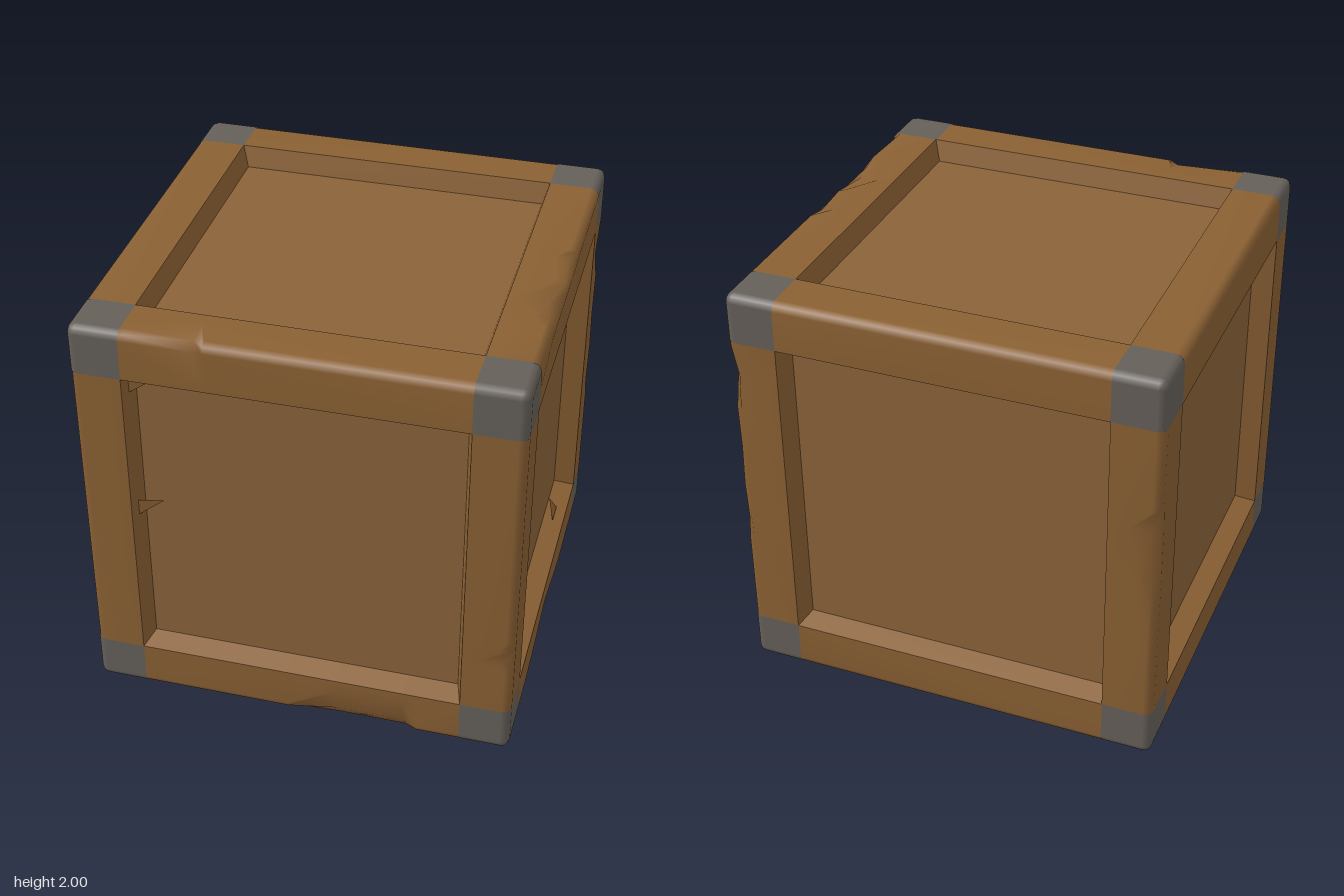
import * as THREE from 'three';

const INNER = 0.765; // inner edge of the frame
const FOOT = 0.735;  // foot of the frame's sloped inner wall
const PANEL = 0.9;   // distance of the panels from the centre
const BEVEL = 0.04;

const frameWood = new THREE.MeshStandardMaterial({ color: 0x8a6033 });
frameWood.name = 'frame wood';
const panelWood = new THREE.MeshStandardMaterial({ color: 0x8a6239 });
panelWood.name = 'panel wood';
const splinterWood = new THREE.MeshStandardMaterial({ color: 0x8a6033, side: THREE.DoubleSide });
splinterWood.name = 'splinter wood';
const iron = new THREE.MeshStandardMaterial({ color: 0x655f59 });
iron.name = 'iron';

// Worn edges, by axis and the signs of the next two axes:
// [position along the beam, bevel along the first axis, bevel along the second]
const WEAR = {
  'x-+': [[-0.06, 0.04, 0.04], [0.18, 0.17, 0.05], [0.5, 0.18, 0.05], [0.56, 0.04, 0.04]],
  'x++': [[-0.74, 0.04, 0.05], [-0.44, 0.04, 0.16], [-0.39, 0.04, 0.04]],
  'y++': [[-0.52, 0.04, 0.04], [-0.48, 0.04, 0.17], [-0.41, 0.04, 0.07], [-0.35, 0.04, 0.04]],
  'y-+': [[-0.3, 0.04, 0.04], [-0.2, 0.08, 0.04], [0, 0.04, 0.04], [0.2, 0.07, 0.04],
    [0.42, 0.05, 0.04], [0.6, 0.16, 0.05], [0.74, 0.04, 0.04]],
  'y--': [[-0.35, 0.04, 0.04], [0, 0.05, 0.09], [0.25, 0.05, 0.14], [0.36, 0.04, 0.04]],
  'z+-': [[-0.35, 0.04, 0.04], [-0.15, 0.05, 0.08], [0.05, 0.05, 0.12], [0.3, 0.05, 0.07], [0.52, 0.04, 0.04]],
  'z++': [[-0.18, 0.04, 0.04], [-0.1, 0.1, 0.05], [0.1, 0.06, 0.05], [0.28, 0.18, 0.05],
    [0.4, 0.1, 0.05], [0.5, 0.04, 0.05], [0.74, 0.04, 0.13]],
};

// One edge beam: a section with sloped inner walls, swept along an axis
function beamGeometry(axis, su, sv) {
  const key = 'xyz'[axis] + (su > 0 ? '+' : '-') + (sv > 0 ? '+' : '-');
  const stations = [[-INNER, BEVEL, BEVEL], ...(WEAR[key] || []), [INNER, BEVEL, BEVEL]];
  const points = [], index = [];
  const flip = su * sv < 0;
  for (const [s, a, b] of stations) {
    const section = [
      [FOOT, PANEL], [INNER, 1],
      [INNER, 1], [1 - a, 1], [1 - 0.32 * a, 1 - 0.32 * b], [1, 1 - b], [1, INNER],
      [1, INNER], [PANEL, FOOT],
    ];
    for (const [u, v] of section) {
      const p = [0, 0, 0];
      p[axis] = s;
      p[(axis + 1) % 3] = su * u;
      p[(axis + 2) % 3] = sv * v;
      points.push(...p);
    }
  }
  for (let i = 0; i < stations.length - 1; i++) {
    for (const j of [0, 2, 3, 4, 5, 7]) {
      const a = i * 9 + j, b = a + 1, c = a + 9, d = a + 10;
      if (flip) index.push(a, b, c, b, d, c);
      else index.push(a, c, b, b, c, d);
    }
  }
  const g = new THREE.BufferGeometry();
  g.setAttribute('position', new THREE.Float32BufferAttribute(points, 3));
  g.setIndex(index);
  g.computeVertexNormals();
  return g;
}

// One corner cap: a block whose outer edges are rounded off
function cornerGeometry(sx, sy, sz) {
  const g = new THREE.BoxGeometry(3, 3, 3, 3, 3, 3);
  const pos = g.attributes.position, nor = g.attributes.normal;
  const steps = [INNER, 1 - BEVEL, 1 - BEVEL * 0.4, 1];
  const signs = new THREE.Vector3(sx, sy, sz);
  const p = new THREE.Vector3(), core = new THREE.Vector3();
  for (let i = 0; i < pos.count; i++) {
    p.fromBufferAttribute(pos, i).multiply(signs);
    p.set(...p.toArray().map((t) => steps[Math.round(t + 1.5)]));
    core.copy(p).clampScalar(0, 1 - BEVEL);
    p.sub(core);
    if (p.lengthSq() > 1e-8) {
      p.normalize();
      const n = p.clone().multiply(signs);
      nor.setXYZ(i, n.x, n.y, n.z);
    }
    p.multiplyScalar(p.lengthSq() > 0 ? BEVEL : 0).add(core).multiply(signs);
    pos.setXYZ(i, p.x, p.y, p.z);
  }
  return g;
}

// A loose sliver of wood along a panel's edge
function splinterGeometry(...corners) {
  const g = new THREE.BufferGeometry();
  g.setAttribute('position', new THREE.Float32BufferAttribute(corners.flat(), 3));
  g.computeVertexNormals();
  return g;
}

export function createModel() {
  const crate = new THREE.Group();
  crate.name = 'crate';
  const add = (name, geometry, material) => {
    const mesh = new THREE.Mesh(geometry, material);
    mesh.name = name;
    crate.add(mesh);
  };

  // Six recessed panels as one inner box
  add('panels', new THREE.BoxGeometry(2 * PANEL, 2 * PANEL, 2 * PANEL), panelWood);

  // Twelve beams and eight corner caps
  for (const su of [-1, 1]) {
    for (const sv of [-1, 1]) {
      for (let axis = 0; axis < 3; axis++) add('frameBeam', beamGeometry(axis, su, sv), frameWood);
      for (const sw of [-1, 1]) add('cornerCap', cornerGeometry(su, sv, sw), iron);
    }
  }

  // Splinters on the front and the left side
  add('splinter', splinterGeometry([-0.75, 0.0, 0.95], [-0.64, 0.07, 0.91], [-0.75, 0.08, 0.95]), splinterWood);
  add('splinter', splinterGeometry([-0.75, 0.67, 0.95], [-0.63, 0.74, 0.91], [-0.75, 0.75, 0.95]), splinterWood);
  add('splinter', splinterGeometry([0.95, -0.74, -0.4], [0.95, -0.74, -0.52], [0.91, -0.68, -0.51]), splinterWood);

  // Stand the crate on the ground
  crate.children.forEach((mesh) => { mesh.position.y = 1; });
  return crate;
}
